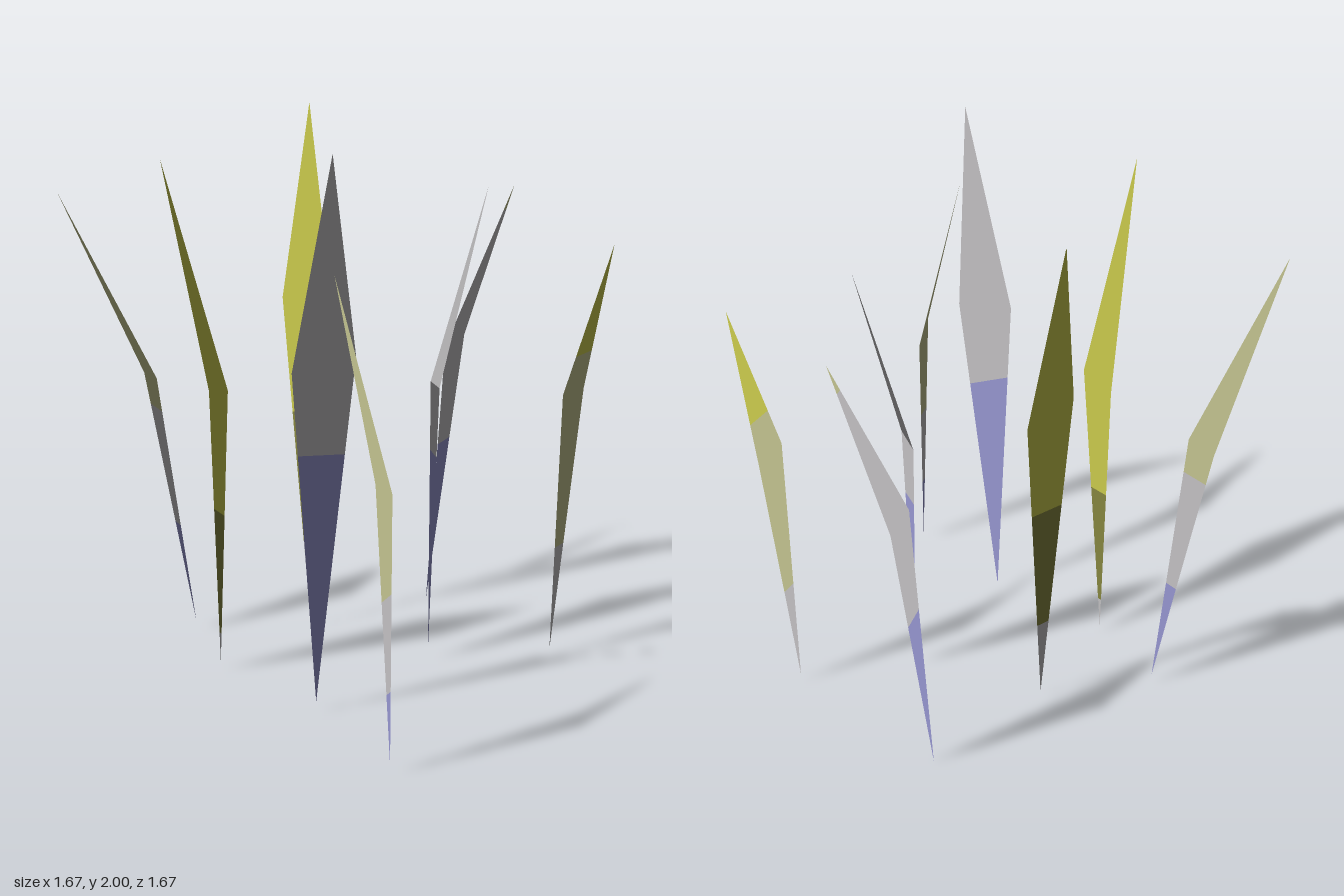
import * as THREE from 'three';

const paint = (name, color) => new THREE.MeshStandardMaterial({ name, color, side: THREE.DoubleSide });
const blue = paint('slateBlue', 0x8686ba);
const gray = paint('stoneGray', 0xaeacae);
const khaki = paint('khaki', 0xaeae80);
const moss = paint('darkMoss', 0x787838);
const yellow = paint('yellowGreen', 0xb6b644);

// Each blade: base, two shoulders, tip; slight x, z tilt of its upward normals;
// colour bands as [material, height of upper end]
const blades = [
  { p: [[-0.04, 0.00, -0.585], [-0.01, 1.07, -0.78], [0.03, 1.06, -0.595], [0.175, 1.68, -0.835]],
    tilt: [-1, -1], bands: [[blue, 0.66], [gray, 1.58], [khaki]] },
  { p: [[0.295, 0.04, 0.515], [0.305, 1.25, 0.645], [0.45, 1.30, 0.49], [0.56, 2.00, 0.745]],
    tilt: [1, 1], bands: [[blue, 0.96], [gray]] },
  { p: [[-0.205, 0.03, -0.055], [-0.30, 1.31, -0.015], [-0.22, 1.25, -0.21], [-0.40, 2.00, -0.295]],
    tilt: [-1, -1], bands: [[gray, 0.36], [moss, 0.87], [yellow]] },
  { p: [[-0.54, 0.04, 0.235], [-0.71, 1.02, 0.31], [-0.585, 1.03, 0.37], [-0.84, 1.72, 0.59]],
    tilt: [-1, -1], bands: [[blue, 0.44], [gray, 0.90], [khaki]] },
  { p: [[-0.21, 0.03, 0.455], [-0.21, 1.07, 0.49], [-0.065, 1.11, 0.55], [-0.165, 1.92, 0.75]],
    tilt: [-1, 1], bands: [[gray, 0.15], [moss, 0.63], [yellow]] },
  { p: [[0.33, 0.05, -0.095], [0.25, 1.04, -0.20], [0.355, 1.05, -0.11], [0.40, 1.76, -0.33]],
    tilt: [1, -1], bands: [[blue, 0.79], [gray]] },
  { p: [[0.665, 0.03, -0.405], [0.695, 1.02, -0.535], [0.71, 1.03, -0.37], [0.835, 1.575, -0.475]],
    tilt: [1, -1], bands: [[gray, 0.44], [khaki, 1.17], [yellow]] },
  { p: [[0.78, 0.03, 0.725], [0.80, 1.02, 0.835], [0.77, 0.95, 0.71], [0.635, 1.65, 0.83]],
    tilt: [1, 1], bands: [[blue, 0.29], [gray, 0.62], [khaki]] },
];

// Point at height y on the bent edge base -> shoulder -> tip
function edgePoint(base, shoulder, tip, y) {
  const [a, b] = y < shoulder.y ? [base, shoulder] : [shoulder, tip];
  return a.clone().lerp(b, (y - a.y) / (b.y - a.y));
}

// Corner order that makes the triangle's front look upward
function facingUp(a, b, c) {
  const up = (b.z - a.z) * (c.x - a.x) - (b.x - a.x) * (c.z - a.z);
  return up < 0 ? [a, c, b] : [a, b, c];
}

function makeBlade({ p, tilt, bands }, index) {
  const [base, left, right, tip] = p.map(c => new THREE.Vector3(...c));
  const fold = (left.y + right.y) / 2;
  // Foliage shading: the whole blade is lit as if it faced the sky
  const normal = new THREE.Vector3(0.02 * tilt[0], 1, 0.02 * tilt[1]).normalize();
  const group = new THREE.Group();
  group.name = `grassBlade${index + 1}`;
  let low = [base, base];
  bands.forEach(([material, top], i) => {
    const high = top === undefined ? [tip, tip]
      : [edgePoint(base, left, tip, top), edgePoint(base, right, tip, top)];
    // The band that holds the shoulders gets an extra row at the fold
    const rows = [low, high];
    if (low[0].y < fold && high[0].y > fold) rows.splice(1, 0, [left, right]);
    const points = [];
    for (let r = 0; r < rows.length - 1; r++) {
      const [a, b] = rows[r], [d, c] = rows[r + 1];
      if (a !== b) points.push(...facingUp(a, b, c));
      if (c !== d) points.push(...facingUp(a, c, d));
    }
    const geometry = new THREE.BufferGeometry().setFromPoints(points);
    const normals = points.flatMap(() => normal.toArray());
    geometry.setAttribute('normal', new THREE.Float32BufferAttribute(normals, 3));
    const mesh = new THREE.Mesh(geometry, material);
    mesh.name = `bladeBand${i + 1}`;
    group.add(mesh);
    low = high;
  });
  return group;
}

export function createModel() {
  const model = new THREE.Group();
  model.name = 'grassTuft';
  blades.forEach((blade, i) => model.add(makeBlade(blade, i)));
  return model;
}
